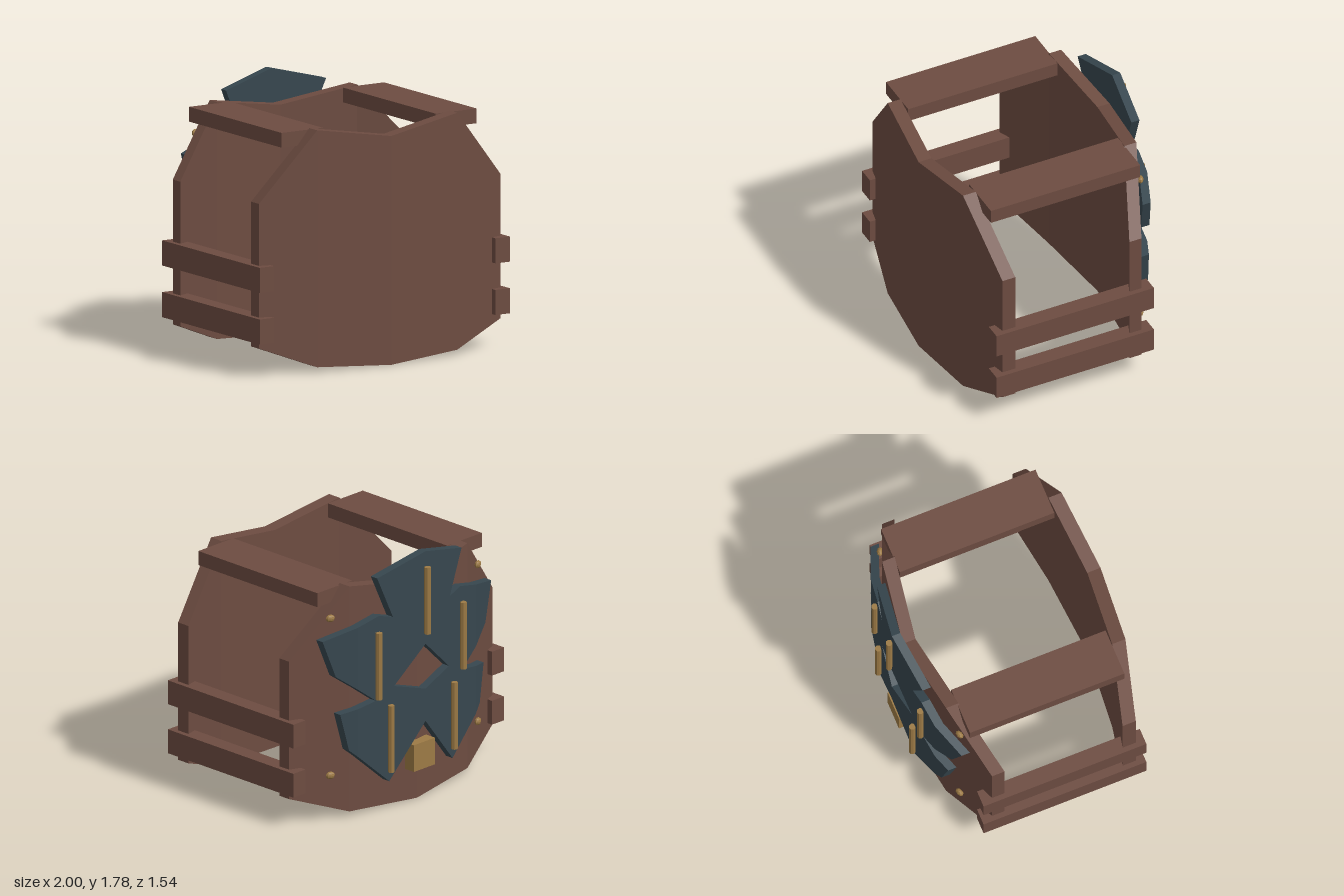
import * as THREE from 'three';
import { mergeGeometries } from 'three/addons/utils/BufferGeometryUtils.js';

const BEND = 0.56; // plates fold at x = 0 and x = +-BEND

export function createModel() {
  const model = new THREE.Group();
  const material = (color) => new THREE.MeshStandardMaterial({ color, flatShading: true });
  const wood = material(0x6d4c41), slate = material(0x37474f), brass = material(0x9c7a45);

  const add = (name, geometry, mat, x = 0, y = 0, z = 0) => {
    const mesh = new THREE.Mesh(geometry, mat);
    mesh.name = name;
    mesh.position.set(x, y, z);
    model.add(mesh);
    return mesh;
  };

  // Mirrored plate of given thickness, its rear face at z0, folded by two slopes
  const foldedPlate = (halfPieces, depth, z0, slopeIn, slopeOut) => {
    const pieces = [];
    for (const side of [1, -1]) {
      for (const points of halfPieces) {
        const shape = new THREE.Shape(points.map(([x, y]) => new THREE.Vector2(side * x, y)));
        const g = new THREE.ExtrudeGeometry(shape, { depth, bevelEnabled: false });
        const p = g.attributes.position;
        for (let i = 0; i < p.count; i++) {
          const a = Math.abs(p.getX(i));
          p.setZ(i, p.getZ(i) + z0 + Math.min(a, BEND) * slopeIn + Math.max(a - BEND, 0) * slopeOut);
        }
        g.computeVertexNormals();
        pieces.push(g);
      }
    }
    return mergeGeometries(pieces);
  };

  // Front and back panels
  const panel = [
    [[0, 0], [BEND, 0.035], [BEND, 1.64], [0, 1.55]],
    [[BEND, 0.035], [0.965, 0.19], [0.965, 1.17], [BEND, 1.64]],
  ];
  add('frontPanel', foldedPlate(panel, 0.095, 0.675, -0.09, -0.225), wood);
  add('backPanel', foldedPlate(panel, 0.09, -0.65, 0.143, 0.407), wood);

  // Five-petal plate on the back: inner half with centre opening, then the two side tips
  const petals = [
    [[0, 1.78], [0.4, 1.68], [0.27, 1.375], [0.385, 1.41], [BEND, 1.366], [BEND, 0.925], [0.41, 0.81],
      [BEND, 0.785], [BEND, 0.446], [0.3, 0.21], [0, 0.57], [0, 0.8], [0.26, 0.88], [0, 1.12]],
    [[BEND, 1.366], [0.8, 1.305], [0.71, 1.04], [BEND, 0.925]],
    [[BEND, 0.785], [0.68, 0.765], [0.62, 0.5], [BEND, 0.446]],
  ];
  add('petalPlate', foldedPlate(petals, 0.06, -0.73, 0.143, 0.39), slate);

  // Planks joining the panels, and round-headed nails
  const topPlank = new THREE.BoxGeometry(0.33, 0.1, 1.11);
  const sidePlank = new THREE.BoxGeometry(0.115, 0.17, 1.17);
  const nail = new THREE.SphereGeometry(0.026, 8, 6);
  for (const side of [1, -1]) {
    add('topPlank', topPlank, wood, side * 0.615, 1.58, 0.067);
    for (const y of [0.315, 0.665]) add('sidePlank', sidePlank, wood, side * 0.9425, y, 0.105);
    for (const y of [0.32, 1.44]) {
      const head = add('nail', nail, brass, side * 0.7, y, -0.53);
      head.rotation.y = -side * 0.39;
      head.scale.set(1.25, 1, 0.8);
    }
  }

  // One upright rod per petal
  const rod = new THREE.CylinderGeometry(0.023, 0.023, 0.475, 8);
  for (const [x, y, z] of [[0, 1.435, -0.75], [0.4, 1.06, -0.69], [-0.4, 1.06, -0.69],
    [0.3, 0.52, -0.705], [-0.3, 0.52, -0.705]]) add('petalRod', rod, brass, x, y, z);

  // Block below the petals
  add('backBlock', new THREE.BoxGeometry(0.2, 0.19, 0.1), brass, 0, 0.325, -0.67);

  return model;
}
